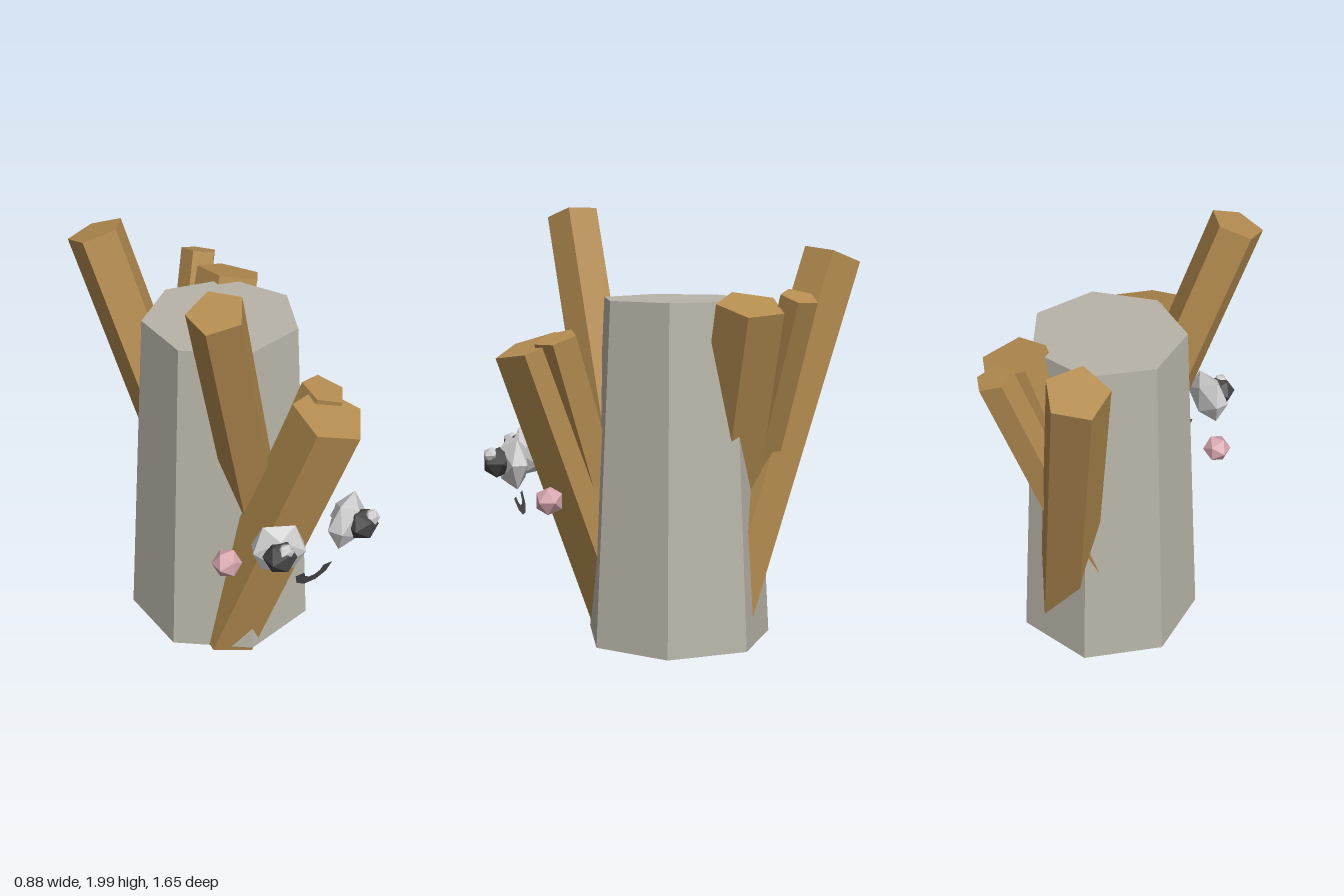
import * as THREE from 'three';

const paint = (color, extra = {}) =>
  new THREE.MeshStandardMaterial({ color, flatShading: true, ...extra });

const stoneGrey = paint(0xb8b4a8);
const wood = paint(0xb48c50);
const white = paint(0xf0f0f0);
const dark = paint(0x444444);
const pink = paint(0xd8a8b0);
const mouthDark = paint(0x4a4a4a, { side: THREE.DoubleSide });

const UP = new THREE.Vector3(0, 1, 0);
const BASE_Y = 0.065;

export function createModel() {
  const model = new THREE.Group();
  model.name = 'stumpCreature';

  const add = (name, geometry, material, x, y, z) => {
    const mesh = new THREE.Mesh(geometry, material);
    mesh.name = name;
    mesh.position.set(x, y, z);
    model.add(mesh);
    return mesh;
  };

  // Tapered seven-sided body, one corner towards +x
  const height = 1.6 - BASE_Y;
  add('body', new THREE.CylinderGeometry(0.345, 0.427, height, 7, 1, false, Math.PI / 2),
    stoneGrey, 0.014, BASE_Y + height / 2, -0.014);

  // Five-sided logs leaning outwards: name, radius, base [x, z], top [x, y, z]
  const logs = [
    ['tallFrontLog', 0.122, [0.225, 0.13], [-0.345, 1.965, 0.505]],
    ['thickFrontLog', 0.165, [-0.105, 0.215], [0.135, 1.395, 0.625]],
    ['thinFrontLog', 0.1, [-0.15, 0.19], [0.195, 1.435, 0.5]],
    ['tallBackLog', 0.135, [0.15, -0.2], [-0.213, 1.785, -0.7]],
    ['thickBackLog', 0.153, [-0.18, -0.14], [0.287, 1.59, -0.355]],
    ['thinBackLog', 0.085, [-0.2, -0.2], [0.25, 1.625, -0.56]],
  ];
  for (const [name, radius, [bx, bz], top] of logs) {
    const base = new THREE.Vector3(bx, BASE_Y, bz);
    const end = new THREE.Vector3(...top);
    const axis = end.clone().sub(base);
    const mid = base.clone().add(end).multiplyScalar(0.5);
    const log = add(name,
      new THREE.CylinderGeometry(radius, radius, axis.length(), 5, 1, false, Math.PI / 2),
      wood, mid.x, mid.y, mid.z);
    log.quaternion.setFromUnitVectors(UP, axis.normalize());
  }

  // Eyes turned outwards, with pupils and highlights, and cheeks below
  for (const [side, s] of [['left', 1], ['right', -1]]) {
    const cx = 0.015;
    const eye = add(side + 'Eye', new THREE.IcosahedronGeometry(0.131),
      white, cx + s * 0.178, 0.88, 0.7);
    eye.scale.z = 0.5;
    eye.rotation.y = s * 0.47;
    add(side + 'Pupil', new THREE.IcosahedronGeometry(0.073),
      dark, cx + s * 0.213, 0.885, 0.76);
    add(side + 'Highlight', new THREE.IcosahedronGeometry(0.037),
      white, cx + 0.02 + s * 0.224, 0.922, 0.785);
    add(side + 'Cheek', new THREE.IcosahedronGeometry(0.066),
      pink, cx + s * 0.315, 0.735, 0.515);
  }

  // Flat smile, tipped slightly downwards
  const mouth = add('mouth', new THREE.RingGeometry(0.05, 0.097, 5, 1, Math.PI, Math.PI),
    mouthDark, 0.017, 0.7, 0.715);
  mouth.rotation.x = 0.3;

  return model;
}
